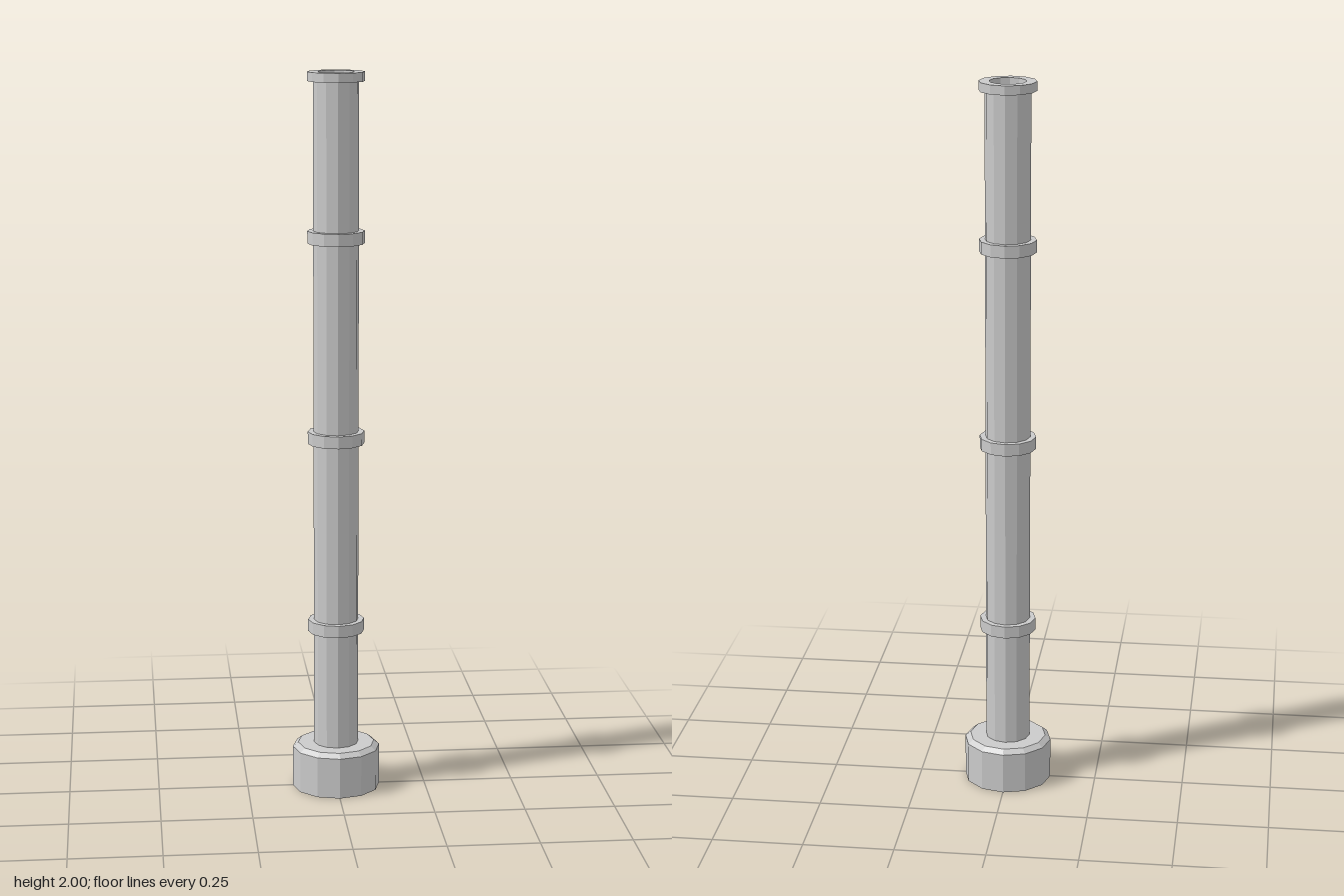
import * as THREE from 'three';

const SIDES = 12;
const material = new THREE.MeshStandardMaterial({ color: 0xcccccc, flatShading: true });

// Turned part from a list of [radius, height] points, running up the outside
function turned(name, points) {
  const profile = points.map(([r, y]) => new THREE.Vector2(r, y));
  const mesh = new THREE.Mesh(new THREE.LatheGeometry(profile, SIDES), material);
  mesh.name = name;
  return mesh;
}

export function createModel() {
  const group = new THREE.Group();
  group.name = 'pipeColumn';
  const shaftR = 0.062, ringR = 0.078, top = 2, floorY = 1.7;

  // Foot with a chamfered upper edge
  group.add(turned('base', [[0, 0], [0.122, 0], [0.122, 0.115], [0.107, 0.127], [shaftR, 0.127]]));

  // Shaft, flared top rim and the slightly tapering bore
  group.add(turned('shaft', [
    [shaftR, 0.127], [shaftR, 1.975], [ringR, 1.975], [ringR, top],
    [0.05, top], [0.044, floorY], [0, floorY],
  ]));

  // Raised bands around the shaft
  for (const y of [0.452, 0.987, 1.54]) {
    group.add(turned('band', [[shaftR, y], [ringR, y], [ringR, y + 0.034], [shaftR, y + 0.034]]));
  }
  return group;
}
